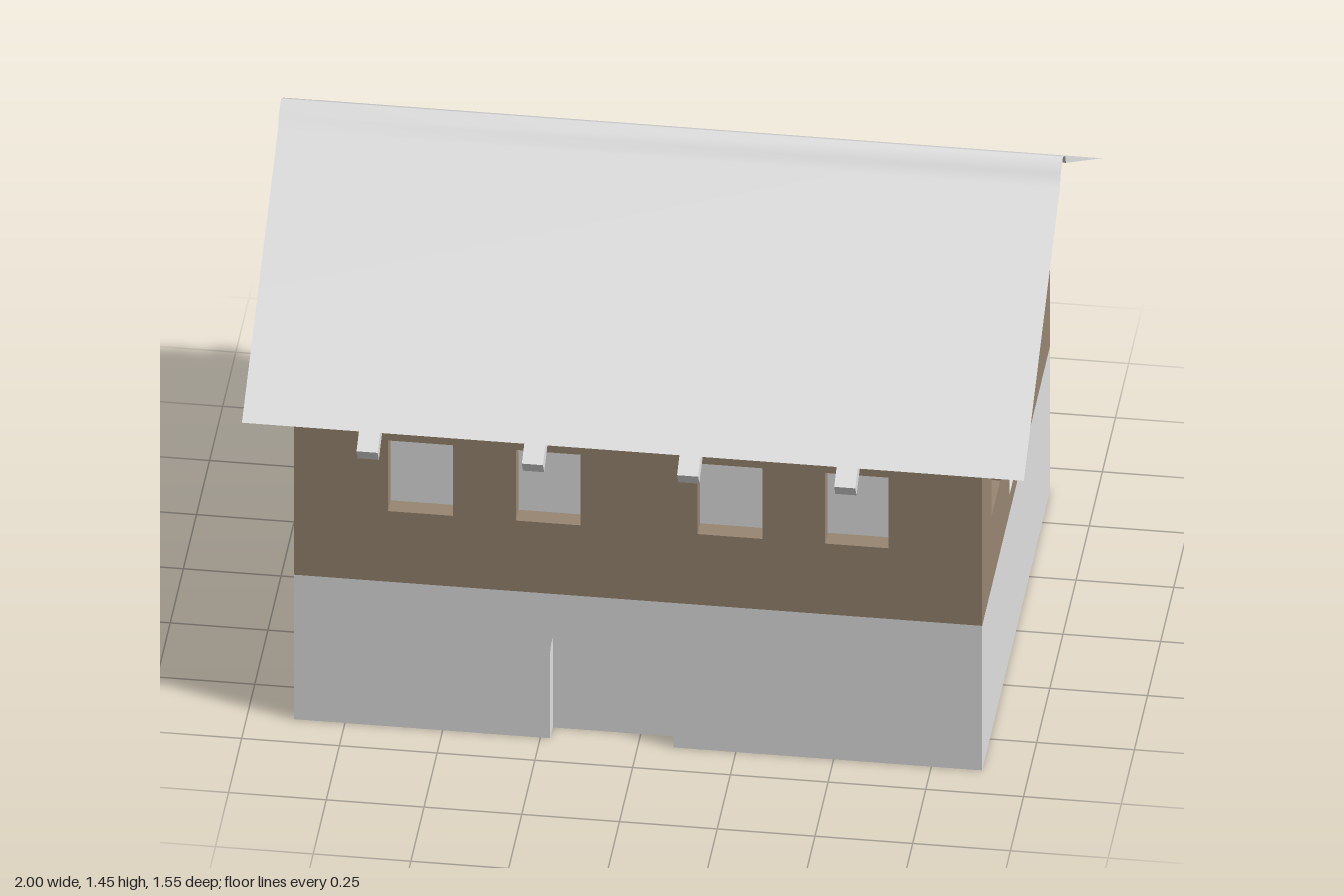
import * as THREE from 'three';

const mat = (name, color) => {
  const m = new THREE.MeshStandardMaterial({ color, side: THREE.DoubleSide });
  m.name = name;
  return m;
};

const HALF_X = 0.88, HALF_Z = 0.645, STONE_TOP = 0.44, WALL_TOP = 0.99, DEPTH = 0.05;

// Corners of a rectangle, counter-clockwise
const rect = (x0, y0, x1, y1) =>
  [[x0, y0], [x1, y0], [x1, y1], [x0, y1]].map(([x, y]) => new THREE.Vector2(x, y));

// Arched outline from one foot over the top to the other foot
function archPoints(cx, r, spring) {
  const pts = [new THREE.Vector2(cx - r, 0)];
  for (let i = 0; i <= 20; i++) {
    const a = Math.PI * (1 - i / 20);
    pts.push(new THREE.Vector2(cx + r * Math.cos(a), spring + r * Math.sin(a)));
  }
  pts.push(new THREE.Vector2(cx + r, 0));
  return pts;
}

// Strip running inwards from an outline
function revealGeometry(pts, closed) {
  const pos = [];
  const n = closed ? pts.length : pts.length - 1;
  for (let i = 0; i < n; i++) {
    const a = pts[i], b = pts[(i + 1) % pts.length];
    pos.push(a.x, a.y, 0, b.x, b.y, -DEPTH, b.x, b.y, 0);
    pos.push(a.x, a.y, 0, a.x, a.y, -DEPTH, b.x, b.y, -DEPTH);
  }
  const g = new THREE.BufferGeometry();
  g.setAttribute('position', new THREE.Float32BufferAttribute(pos, 3));
  // Face the strip towards the middle of the opening
  if (!closed) {
    for (let i = 0; i < pos.length; i += 9) {
      for (let k = 0; k < 3; k++) [pos[i + 3 + k], pos[i + 6 + k]] = [pos[i + 6 + k], pos[i + 3 + k]];
    }
    g.setAttribute('position', new THREE.Float32BufferAttribute(pos, 3));
  }
  g.computeVertexNormals();
  return g;
}

export function createModel() {
  const model = new THREE.Group();
  model.name = 'house';
  const plaster = mat('paleGrey', 0xe2e2e2);
  const brown = mat('brownWall', 0x988672);

  const add = (parent, name, geometry, material) => {
    const mesh = new THREE.Mesh(geometry, material);
    mesh.name = name;
    parent.add(mesh);
    return mesh;
  };

  // One wall: stone base, brown upper storey and recessed openings
  function wall(name, half, openings, arch) {
    const g = new THREE.Group();
    g.name = name;
    const base = [new THREE.Vector2(-half, 0), ...(arch || []), new THREE.Vector2(half, 0),
      new THREE.Vector2(half, STONE_TOP), new THREE.Vector2(-half, STONE_TOP)];
    add(g, 'stoneBase', new THREE.ShapeGeometry(new THREE.Shape(base)), plaster);
    if (arch) {
      add(g, 'archReveal', revealGeometry(arch, false), plaster);
      add(g, 'archDoor', new THREE.ShapeGeometry(new THREE.Shape(arch)), plaster).position.z = -DEPTH;
    }
    const upper = new THREE.Shape(rect(-half, STONE_TOP, half, WALL_TOP));
    for (const [x0, y0, x1, y1] of openings) {
      const pts = rect(x0, y0, x1, y1);
      upper.holes.push(new THREE.Path(pts));
      const isDoor = y0 < 0.6;
      add(g, isDoor ? 'doorReveal' : 'windowReveal', revealGeometry(pts, true), brown);
      add(g, isDoor ? 'door' : 'windowPane', new THREE.ShapeGeometry(new THREE.Shape(pts)), plaster)
        .position.z = -DEPTH;
      if (isDoor) {
        const sill = add(g, 'doorSill', new THREE.BoxGeometry(x1 - x0, 0.004, DEPTH), plaster);
        sill.position.set((x0 + x1) / 2, y0 + 0.002, -DEPTH / 2);
      }
    }
    add(g, 'upperWall', new THREE.ShapeGeometry(upper), brown);
    return g;
  }

  // Each half holds a long wall, an end wall and rafters; the second is turned round
  const W0 = 0.655, W1 = 0.87;
  const longWindows = [[-0.64, -0.473], [-0.313, -0.147], [0.152, 0.318], [0.478, 0.64]]
    .map(([a, b]) => [a, W0, b, W1]);
  const endOpenings = [[-0.465, W0, -0.3, W1], [-0.12, 0.495, 0.106, W1], [0.292, W0, 0.458, W1]];
  const pitch = Math.atan(0.645);
  for (const side of ['front', 'back']) {
    const half = new THREE.Group();
    half.name = side + 'Half';
    const arch = side === 'front' ? archPoints(-0.067, 0.158, 0.262) : null;
    const long = wall(side + 'Wall', HALF_X, longWindows, arch);
    long.position.z = HALF_Z;
    const end = wall(side === 'front' ? 'leftWall' : 'rightWall', HALF_Z, endOpenings, null);
    end.rotation.y = Math.PI / 2;
    end.position.x = HALF_X;
    half.add(long, end);
    // Rafter ends under the eaves
    const len = 0.36, thick = 0.044;
    for (const x of [-0.676, -0.253, 0.144, 0.546]) {
      const geo = new THREE.BoxGeometry(0.054, thick, len);
      geo.translate(0, -thick / 2, -len / 2);
      const rafter = add(half, 'rafter', geo, plaster);
      rafter.rotation.x = pitch;
      rafter.position.set(x, 0.917, 0.775);
    }
    if (side === 'back') half.rotation.y = Math.PI;
    model.add(half);
  }

  // Roof sheet with a raised ridge
  const slope = [[0.745, 0.958], [0.058, 1.397], [0.042, 1.429]];
  const profile = [...slope.map(([z, y]) => [-z, y]), [0, 1.453], ...[...slope].reverse()];
  const roof = new THREE.PlaneGeometry(2, 1, 1, profile.length - 1);
  const rp = roof.attributes.position;
  for (let i = 0; i < rp.count; i++) {
    const [z, y] = profile[Math.floor(i / 2)];
    rp.setY(i, y);
    rp.setZ(i, z);
  }
  roof.computeVertexNormals();
  add(model, 'roof', roof, plaster);

  // Ledge on top of the walls, sloping in to the gables
  let ledge = new THREE.BoxGeometry(1.79, 0.05, 1.3, 1, 2, 1);
  const lp = ledge.attributes.position;
  for (let i = 0; i < lp.count; i++) {
    const y = lp.getY(i);
    if (y > 0.01) {
      lp.setX(i, Math.sign(lp.getX(i)) * 0.85);
      lp.setZ(i, Math.sign(lp.getZ(i)) * 0.59);
    }
    lp.setY(i, y > 0.01 ? 1.042 : y < -0.01 ? WALL_TOP : 1.005);
  }
  ledge = ledge.toNonIndexed();
  ledge.computeVertexNormals();
  add(model, 'ledge', ledge, plaster);

  // Gable block filling the space beneath the roof
  const inner = [[0.59, 1.04], [0.59, 1.05], [0.056, 1.392], [0.04, 1.424]];
  const outline = [...inner, [0, 1.448], ...[...inner].reverse().map(([z, y]) => [-z, y])];
  const gable = new THREE.ExtrudeGeometry(
    new THREE.Shape(outline.map(([z, y]) => new THREE.Vector2(z, y))),
    { depth: 1.71, bevelEnabled: false });
  gable.translate(0, 0, -0.855);
  gable.rotateY(Math.PI / 2);
  add(model, 'gables', gable, plaster);

  return model;
}
